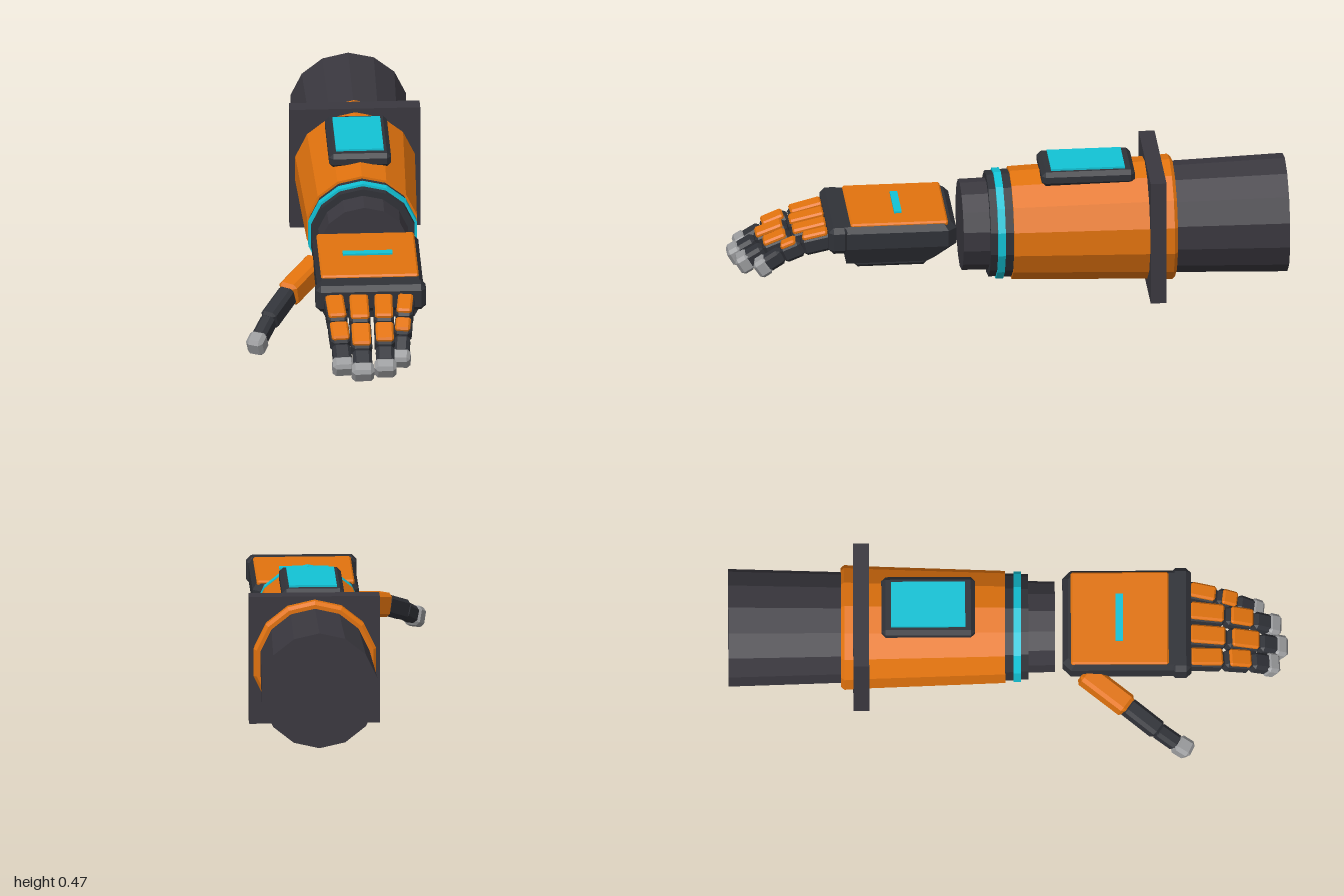
import * as THREE from 'three';
import { ConvexGeometry } from 'three/addons/geometries/ConvexGeometry.js';

const material = (name, color) => {
  const m = new THREE.MeshStandardMaterial({ color });
  m.name = name;
  return m;
};

// Flat faceted normals
const faceted = (g) => {
  const out = g.index ? g.toNonIndexed() : g;
  out.computeVertexNormals();
  return out;
};

// Box with every edge cut by c
function chamferBox(w, h, d, c) {
  const [x, y, z] = [w / 2, h / 2, d / 2];
  const pts = [];
  for (const i of [-1, 1]) for (const j of [-1, 1]) for (const k of [-1, 1]) {
    pts.push(
      new THREE.Vector3(i * x, j * (y - c), k * (z - c)),
      new THREE.Vector3(i * (x - c), j * y, k * (z - c)),
      new THREE.Vector3(i * (x - c), j * (y - c), k * z));
  }
  return new ConvexGeometry(pts);
}

export function createModel() {
  const orange = material('orange armour', 0xe2730e);
  const cyan = material('cyan light', 0x12c3d6);
  const frame = material('dark frame', 0x3a383f);
  const shell = material('charcoal shell', 0x303238);
  const grey = material('grey fingertip', 0x9a9b9d);

  const model = new THREE.Group();
  model.name = 'mechanicalArm';
  const arm = new THREE.Group();
  arm.name = 'arm';
  arm.position.x = 0.107; // arm axis
  model.add(arm);

  const add = (parent, name, geometry, mat, x = 0, y = 0, z = 0) => {
    const mesh = new THREE.Mesh(geometry, mat);
    mesh.name = name;
    mesh.position.set(x, y, z);
    parent.add(mesh);
    return mesh;
  };

  // Fourteen-sided sections along the arm
  const AXIS_Y = 0.234;
  const section = (name, mat, zFront, rFront, zBack, rBack) => {
    const g = new THREE.CylinderGeometry(rFront, rBack, zFront - zBack, 14).rotateX(Math.PI / 2);
    add(arm, name, faceted(g), mat, 0, AXIS_Y, (zFront + zBack) / 2);
  };
  section('upperArm', frame, -0.58, 0.199, -1, 0.212);
  section('forearmRim', orange, -0.53, 0.221, -0.585, 0.225);
  section('forearmRimBevel', orange, -0.585, 0.225, -0.597, 0.214);
  section('forearm', orange, -0.01, 0.202, -0.53, 0.221);
  section('cuffBack', shell, 0.022, 0.193, -0.012, 0.193);
  section('lightRing', cyan, 0.047, 0.199, 0.02, 0.199);
  section('cuffFront', shell, 0.073, 0.19, 0.045, 0.19);
  section('wrist', frame, 0.168, 0.163, 0.07, 0.165);

  // Square guard plate and screen on the forearm
  add(arm, 'guardPlate', faceted(new THREE.BoxGeometry(0.467, 0.468, 0.057)), frame, 0, 0.234, -0.525);
  add(arm, 'screenHousing', chamferBox(0.222, 0.053, 0.335, 0.015), shell, 0, 0.441, -0.285);
  add(arm, 'screen', faceted(new THREE.BoxGeometry(0.171, 0.009, 0.265)), cyan, 0, 0.4705, -0.285);

  // Palm: stacked outlines with cut back corners
  const palmPoints = [];
  for (const [y, hx, z0, z1, cut] of [
    [0.318, 0.175, 0.215, 0.6, 0.025],
    [0.295, 0.19, 0.195, 0.6, 0.03],
    [0.235, 0.19, 0.195, 0.6, 0.03],
    [0.168, 0.158, 0.275, 0.59, 0.025],
  ]) {
    for (const s of [-1, 1]) {
      palmPoints.push(
        new THREE.Vector3(s * hx, y, z1),
        new THREE.Vector3(s * hx, y, z0 + cut),
        new THREE.Vector3(s * (hx - cut), y, z0));
    }
  }
  const hand = new THREE.Group();
  hand.name = 'hand';
  arm.add(hand);
  add(hand, 'palm', new ConvexGeometry(palmPoints), shell);
  add(hand, 'palmPad', chamferBox(0.31, 0.04, 0.26, 0.012), shell, 0, 0.169, 0.43);
  add(hand, 'knuckleBar', chamferBox(0.395, 0.1, 0.075, 0.018), shell, 0, 0.268, 0.618);
  add(hand, 'handPlate', chamferBox(0.35, 0.02, 0.35, 0.006), orange, 0, 0.317, 0.4);
  add(hand, 'handLight', faceted(new THREE.BoxGeometry(0.178, 0.008, 0.027)), cyan, 0, 0.33, 0.398);

  // Fingers: x, width, segment lengths, pitch of each joint, yaw (degrees)
  const rad = THREE.MathUtils.degToRad;
  const fingers = [
    ['indexFinger', -0.027, 0.072, [0.14, 0.105], [13, 8, 9], 3.7],
    ['middleFinger', 0.062, 0.075, [0.15, 0.125], [13, 8, 9], 0],
    ['ringFinger', 0.151, 0.072, [0.145, 0.108], [13.5, 9, 9], -1.3],
    ['littleFinger', 0.234, 0.062, [0.115, 0.08], [15, 10, 10], -7],
  ];
  for (const [name, x, w, lengths, pitch, yaw] of fingers) {
    const finger = new THREE.Group();
    finger.name = name;
    finger.position.set(x, 0.256, 0.632);
    finger.rotation.y = rad(yaw);
    model.add(finger);
    let joint = finger;
    let offset = 0;
    pitch.forEach((angle, i) => {
      const next = new THREE.Group();
      next.name = 'joint' + (i + 1);
      next.position.z = offset;
      next.rotation.x = rad(angle);
      joint.add(next);
      joint = next;
      const thick = 0.066 - i * 0.004;
      if (i < 2) {
        const l = lengths[i];
        add(joint, 'fingerSegment', chamferBox(w, thick, l, 0.012), shell, 0, 0, l / 2);
        add(joint, 'fingerPlate', chamferBox(w - 0.008, 0.022, l - 0.022, 0.007), orange, 0, thick / 2, l / 2 + 0.003);
        offset = l;
      } else {
        add(joint, 'fingerEnd', chamferBox(w - 0.006, thick, 0.075, 0.012), shell, 0, 0, 0.037);
        add(joint, 'fingertip', chamferBox(w + 0.005, 0.066, 0.054, 0.012), grey, 0, 0, 0.084);
      }
    });
  }

  // Thumb: blocks placed between successive joints
  const thumb = new THREE.Group();
  thumb.name = 'thumb';
  model.add(thumb);
  const joints = [[-0.07, 0.225, 0.275], [-0.178, 0.186, 0.425], [-0.252, 0.137, 0.535],
    [-0.289, 0.1, 0.602], [-0.31, 0.08, 0.645]].map((p) => new THREE.Vector3(...p));
  const blocks = [
    ['thumbBase', orange, 0.075, 0.088],
    ['thumbMiddle', shell, 0.062, 0.074],
    ['thumbEnd', shell, 0.054, 0.062],
    ['thumbTip', grey, 0.064, 0.072],
  ];
  blocks.forEach(([name, mat, w, h], i) => {
    const a = joints[i];
    const b = joints[i + 1];
    const block = new THREE.Mesh(chamferBox(w, h, a.distanceTo(b) + 0.014, 0.013), mat);
    block.name = name;
    block.position.copy(a).lerp(b, 0.5);
    block.lookAt(b);
    thumb.add(block);
  });

  return model;
}
